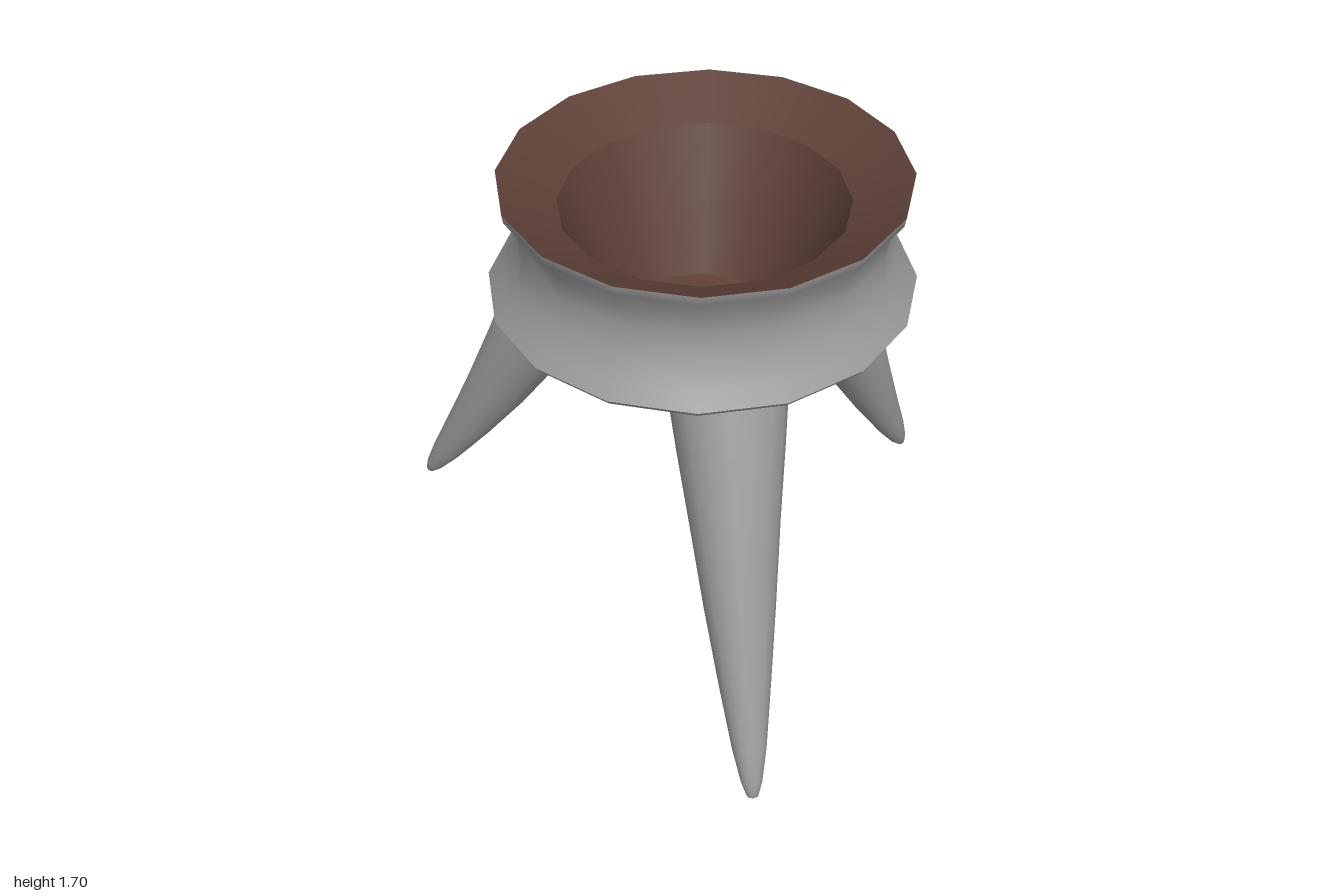
import * as THREE from 'three';

const CENTRE_X = 0.22; // the bowl sits off-centre above its three legs
const DEPTH = 1.05; // the bowl is slightly oval

const vectors = (pairs) => pairs.map(([x, y]) => new THREE.Vector2(x, y));

function lathe(name, profile, material) {
  const mesh = new THREE.Mesh(new THREE.LatheGeometry(vectors(profile), 16), material);
  mesh.name = name;
  mesh.scale.z = DEPTH;
  mesh.position.x = CENTRE_X;
  return mesh;
}

// Tapered, gently curved leg running from its pointed tip up to the bowl
function leg(name, tip, top, material) {
  const axis = top.clone().sub(tip);
  const length = axis.length();
  const profile = [
    [0, 0], [0.018, 0.006], [0.034, 0.04], [0.055, 0.12], [0.084, 0.28],
    [0.115, 0.47], [0.144, 0.68], [0.17, 0.86], [0.188, 1],
  ].map(([r, t]) => [r, t * length]);
  const geometry = new THREE.LatheGeometry(vectors(profile), 16);

  const turn = new THREE.Quaternion().setFromUnitVectors(
    new THREE.Vector3(0, 1, 0), axis.clone().normalize());
  const inward = new THREE.Vector3(axis.x, 0, axis.z).normalize();
  const position = geometry.attributes.position;
  const p = new THREE.Vector3();
  for (let i = 0; i < position.count; i++) {
    p.fromBufferAttribute(position, i);
    const bend = 0.03 * Math.sin(Math.PI * p.y / length);
    p.applyQuaternion(turn).addScaledVector(inward, bend).add(tip);
    position.setXYZ(i, p.x, p.y, p.z);
  }
  // Normals follow the turn; the bend is too slight to alter them
  const normal = geometry.attributes.normal;
  for (let i = 0; i < normal.count; i++) {
    p.fromBufferAttribute(normal, i).applyQuaternion(turn);
    normal.setXYZ(i, p.x, p.y, p.z);
  }
  const mesh = new THREE.Mesh(geometry, material);
  mesh.name = name;
  return mesh;
}

export function createModel() {
  const stone = new THREE.MeshStandardMaterial({ color: 0x9a9a9a, side: THREE.DoubleSide });
  stone.name = 'grey stone';
  const clay = new THREE.MeshStandardMaterial({ color: 0x5d4037, side: THREE.DoubleSide });
  clay.name = 'brown lining';

  const group = new THREE.Group();
  group.name = 'tripodBowl';

  // Outer wall: sloping underside, sharp belly, narrow waist and flared rim
  group.add(lathe('bowlUnderside', [
    [0.33, 1.08], [0.45, 1.135], [0.59, 1.22], [0.69, 1.295], [0.7, 1.31],
  ], stone));
  group.add(lathe('bowlWall', [
    [0.7, 1.31], [0.665, 1.36], [0.623, 1.43], [0.602, 1.52], [0.617, 1.61],
    [0.655, 1.67], [0.66, 1.7],
  ], stone));

  // Lining: sloped lip, steep inner wall and the shallow floor
  group.add(lathe('lip', [[0.47, 1.6], [0.66, 1.7]], clay));
  group.add(lathe('innerWall', [[0.27, 1.12], [0.37, 1.36], [0.47, 1.6]], clay));
  group.add(lathe('floor', [[0, 1.03], [0.17, 1.05], [0.335, 1.08]], clay));

  // Legs: each given by its tip and its top inside the bowl
  const v = (x, y, z) => new THREE.Vector3(x, y, z);
  group.add(leg('rightLeg', v(-0.92, 0.055, 0), v(-0.27, 1.2, 0), stone));
  group.add(leg('frontLeftLeg', v(0.84, 0.08, 0.995), v(0.485, 1.19, 0.42), stone));
  group.add(leg('backLeftLeg', v(0.715, 0, -0.995), v(0.465, 1.19, -0.43), stone));

  return group;
}
